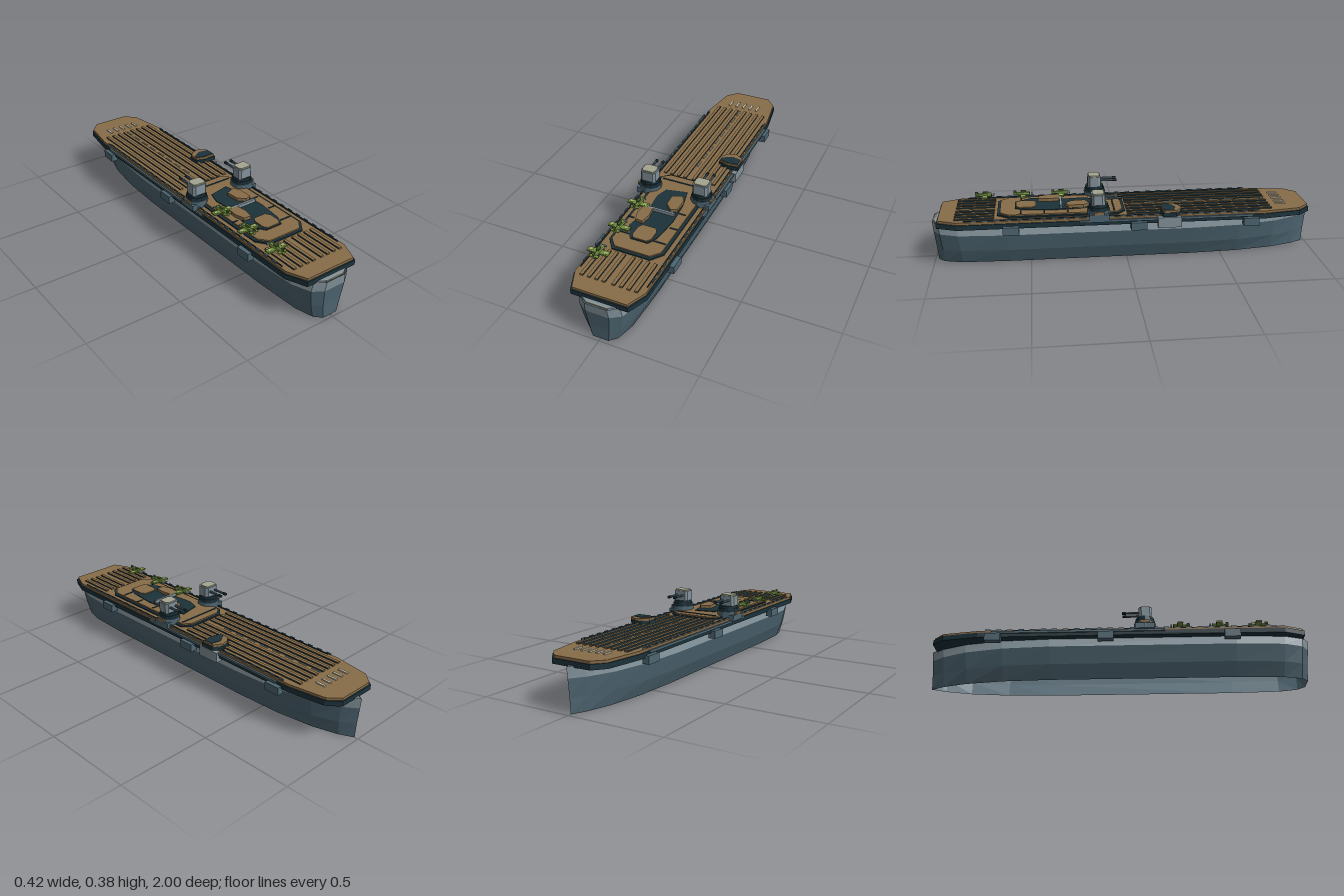
import * as THREE from 'three';

const mat = (name, color, side = THREE.FrontSide) => {
  const m = new THREE.MeshStandardMaterial({ color, side, flatShading: true });
  m.name = name;
  return m;
};

export function createModel() {
  const root = new THREE.Group();
  root.name = 'carrierShip';
  const hullBlue = mat('hull blue', 0x4e6672, THREE.DoubleSide);
  const steel = mat('light steel', 0x82929a, THREE.DoubleSide);
  const dark = mat('dark slate', 0x1c323a);
  const wood = mat('deck brown', 0x876c48);
  const pale = mat('pale grey', 0xa3a590);
  const white = mat('marking white', 0xd0d0bc);
  const green = mat('aircraft green', 0x708c3e);
  const olive = mat('dark green', 0x4c6430);
  const lime = mat('light green', 0xa4b468);

  const add = (parent, name, geo, material, x = 0, y = 0, z = 0) => {
    const m = new THREE.Mesh(geo, material);
    m.name = name;
    m.position.set(x, y, z);
    parent.add(m);
    return m;
  };
  const box = (p, name, w, h, d, m, x, y, z) => add(p, name, new THREE.BoxGeometry(w, h, d), m, x, y, z);
  // Horizontal slab from an outline of [x, z] points
  const slab = (p, name, pts, y0, y1, m) => {
    const s = new THREE.Shape(pts.map(([x, z]) => new THREE.Vector2(x, z)));
    const g = new THREE.ExtrudeGeometry(s, { depth: y1 - y0, bevelEnabled: false });
    g.rotateX(Math.PI / 2);
    return add(p, name, g, m, 0, y1, 0);
  };
  const mirrored = (half) => [...half, ...half.map(([x, z]) => [-x, z]).reverse()];
  const group = (name, x, y, z) => {
    const g = new THREE.Group();
    g.name = name;
    g.position.set(x, y, z);
    root.add(g);
    return g;
  };

  // Hull: plan outline lofted through a few levels, open underneath
  const half = [[0.06, 1], [0.11, 0.965], [0.145, 0.87], [0.16, 0.62], [0.16, -0.35],
    [0.145, -0.6], [0.105, -0.8], [0.05, -0.93]];
  const ring = [...half, [0, -1], ...half.map(([x, z]) => [-x, z]).reverse()];
  const levels = [[0, 0.675, 0.982], [0.075, 0.87, 0.986], [0.165, 1, 0.995], [0.217, 0.93, 1]];
  const strake = (name, from, to, material) => {
    const v = [];
    for (let l = from; l < to; l++) {
      const at = (i, [y, sx, sz]) => [ring[i % ring.length][0] * sx, y, ring[i % ring.length][1] * sz];
      for (let i = 0; i < ring.length; i++) {
        const a = at(i, levels[l]), b = at(i + 1, levels[l]);
        const c = at(i + 1, levels[l + 1]), d = at(i, levels[l + 1]);
        v.push(...a, ...b, ...c, ...a, ...c, ...d);
      }
    }
    const g = new THREE.BufferGeometry();
    g.setAttribute('position', new THREE.Float32BufferAttribute(v, 3));
    g.computeVertexNormals();
    add(root, name, g, material);
  };
  strake('lowerHull', 0, 2, hullBlue);
  strake('upperStrake', 2, 3, steel);
  slab(root, 'sternLedge', mirrored([[0.056, 0.99], [0.1, 0.962], [0.1, 0.93]]), 0.21, 0.22, steel);
  box(root, 'sternSill', 0.11, 0.007, 0.006, pale, 0, 0.2175, 0.99);
  slab(root, 'bowTip', [[0, -0.995], [0.03, -0.94], [-0.03, -0.94]], 0.21, 0.219, steel);

  // Hangar layer and flight deck
  const deckHalf = (e) => mirrored([[0.145 - e, 0.97 - e], [0.187 - e, 0.865], [0.187 - e, -0.72],
    [0.157 - e, -0.91], [0.105 - e, -0.972 + e]]);
  slab(root, 'hangarLayer', deckHalf(0), 0.212, 0.238, dark);
  slab(root, 'flightDeck', deckHalf(0.006), 0.238, 0.251, wood);

  // Deck planking ribs with dark seams on the sides
  const ribMats = [dark, dark, wood, wood, wood, wood];
  for (const x of [0.025, 0.063, 0.101, 0.139]) for (const s of [-1, 1]) {
    box(root, 'deckRib', 0.016, 0.008, 0.76, ribMats, s * x, 0.255, -0.38);
    box(root, 'sternRib', 0.016, 0.008, 0.2, ribMats, s * x, 0.255, 0.78);
  }

  // Deck edge rails, catwalks and side sponsons
  for (const s of [-1, 1]) {
    box(root, 'edgeRail', 0.004, 0.006, 1.5, dark, s * 0.171, 0.254, 0.08);
    for (let i = 0; i < 26; i++)
      box(root, 'railPost', 0.004, 0.008, 0.028, hullBlue, s * 0.177, 0.255, -0.67 + i * 0.058);
    box(root, 'catwalk', 0.01, 0.012, 0.9, hullBlue, s * 0.19, 0.236, -0.2);
    for (const z of [-0.64, -0.055, 0.595])
      box(root, 'sideSponson', 0.037, 0.041, 0.082, hullBlue, s * 0.191, 0.2045, z);
  }

  // Deck markings
  for (let i = 0; i < 8; i++)
    box(root, 'centreDash', 0.007, 0.004, 0.05, pale, -0.006, 0.255, -0.73 + i * 0.083);
  for (let i = 0; i < 5; i++)
    box(root, 'bowMarking', 0.011, 0.006, 0.052, white, -0.088 + i * 0.042, 0.255, -0.825);

  // Raised midship platform
  const platform = (e) => mirrored([[0.1 - e * 0.5, 0.665 - e], [0.145 - e, 0.605],
    [0.145 - e, 0.05], [0.1 - e * 0.5, 0.008 + e]]);
  slab(root, 'platformBase', platform(0), 0.25, 0.258, dark);
  slab(root, 'platformTop', platform(0.014), 0.256, 0.265, wood);
  for (const [x, z, w] of [[0, 0.065, 0.24], [0.09, 0.305, 0.06], [-0.12, 0.425, 0.03], [0.11, 0.425, 0.04],
    [0.09, 0.545, 0.07], [-0.085, 0.545, 0.07]])
    box(root, 'platformSeam', w, 0.004, 0.008, dark, x, 0.266, z);

  // Central dark superstructure with brown roof plates
  slab(root, 'superstructureBase', [[-0.06, 0.155], [0.05, 0.13], [0.075, 0.24], [0.085, 0.38],
    [0.07, 0.52], [0.045, 0.575], [-0.05, 0.575], [-0.1, 0.49], [-0.07, 0.33], [-0.08, 0.22]], 0.262, 0.269, dark);
  slab(root, 'forwardRoof', [[0, 0.21], [0.05, 0.19], [0.072, 0.22], [0.072, 0.3], [0.04, 0.315], [0.005, 0.28]],
    0.268, 0.285, wood);
  slab(root, 'sideRoof', [[-0.095, 0.34], [-0.045, 0.33], [-0.035, 0.4], [-0.045, 0.455], [-0.085, 0.45], [-0.1, 0.4]],
    0.268, 0.285, wood);
  slab(root, 'aftRoof', mirrored([[0.035, 0.57], [0.05, 0.55], [0.05, 0.49], [0.035, 0.465]]), 0.268, 0.274, wood);
  box(root, 'crossBar', 0.15, 0.016, 0.012, steel, -0.002, 0.277, 0.337);

  // Twin-barrel gun turrets, aimed toward the bow
  for (const x of [-0.151, 0.139]) {
    const t = group('gunTurret', x, 0, 0.148);
    const out = Math.sign(x);
    const drum = (name, r, y0, y1, m) => {
      const g = new THREE.CylinderGeometry(r, r, y1 - y0, 12);
      add(t, name, g, m, 0, (y0 + y1) / 2, 0);
    };
    box(t, 'turretSponson', 0.07, 0.03, 0.1, hullBlue, out * 0.022, 0.255, 0);
    drum('turretFoot', 0.058, 0.25, 0.286, hullBlue);
    box(t, 'sponsonTrim', 0.018, 0.014, 0.05, wood, out * 0.052, 0.278, 0);
    drum('turretCollar', 0.053, 0.284, 0.302, dark);
    drum('turretNeck', 0.048, 0.3, 0.316, dark);
    const house = mirrored([[0.03, 0.038], [0.042, 0.026], [0.042, -0.018], [0.032, -0.032]]);
    slab(t, 'gunHouse', house, 0.314, 0.368, steel);
    slab(t, 'gunHouseRoof', house.map(([a, b]) => [a * 0.85, b * 0.85]), 0.368, 0.375, pale);
    for (const s of [-1, 1]) {
      const barrel = new THREE.CylinderGeometry(0.006, 0.007, 0.095, 8).rotateX(-Math.PI / 2);
      add(t, 'gunBarrel', barrel, hullBlue, s * 0.018, 0.345, -0.07);
      const muzzle = new THREE.CylinderGeometry(0.008, 0.008, 0.02, 8).rotateX(-Math.PI / 2);
      add(t, 'muzzle', muzzle, dark, s * 0.018, 0.345, -0.108);
    }
  }

  // Small island on the left deck edge: brown block with a dark roof, on a sponson
  box(root, 'islandSupport', 0.035, 0.055, 0.122, steel, 0.188, 0.218, -0.213);
  slab(root, 'islandBase', [[0.092, -0.245], [0.118, -0.27], [0.16, -0.28], [0.208, -0.245], [0.208, -0.175],
    [0.14, -0.172], [0.092, -0.19]], 0.25, 0.271, dark);
  slab(root, 'islandBlock', [[0.095, -0.24], [0.12, -0.265], [0.16, -0.277], [0.204, -0.25], [0.204, -0.182],
    [0.14, -0.178], [0.095, -0.195]], 0.271, 0.283, wood);
  slab(root, 'islandRoof', [[0.1, -0.215], [0.13, -0.235], [0.15, -0.245], [0.2, -0.235], [0.2, -0.186],
    [0.14, -0.182], [0.1, -0.197]], 0.282, 0.285, dark);

  // Parked aircraft
  for (const z of [0.333, 0.535, 0.738]) {
    const p = group('aircraft', -0.128, 0.281, z);
    const body = new THREE.CylinderGeometry(0.014, 0.008, 0.086, 8).rotateX(-Math.PI / 2);
    add(p, 'fuselage', body, green, 0, 0.004, 0.006);
    box(p, 'wings', 0.11, 0.007, 0.03, green, 0, 0.001, -0.002);
    box(p, 'tailplane', 0.046, 0.005, 0.016, green, 0, 0.006, 0.04);
    box(p, 'tailFin', 0.005, 0.016, 0.014, olive, 0, 0.014, 0.042);
    box(p, 'canopy', 0.012, 0.008, 0.024, olive, 0, 0.018, -0.004);
    box(p, 'propeller', 0.036, 0.006, 0.008, steel, 0, 0.004, -0.047);
    for (const s of [-1, 1])
      box(p, 'wingMark', 0.016, 0.002, 0.016, lime, s * 0.038, 0.005, -0.002);
  }
  return root;
}
